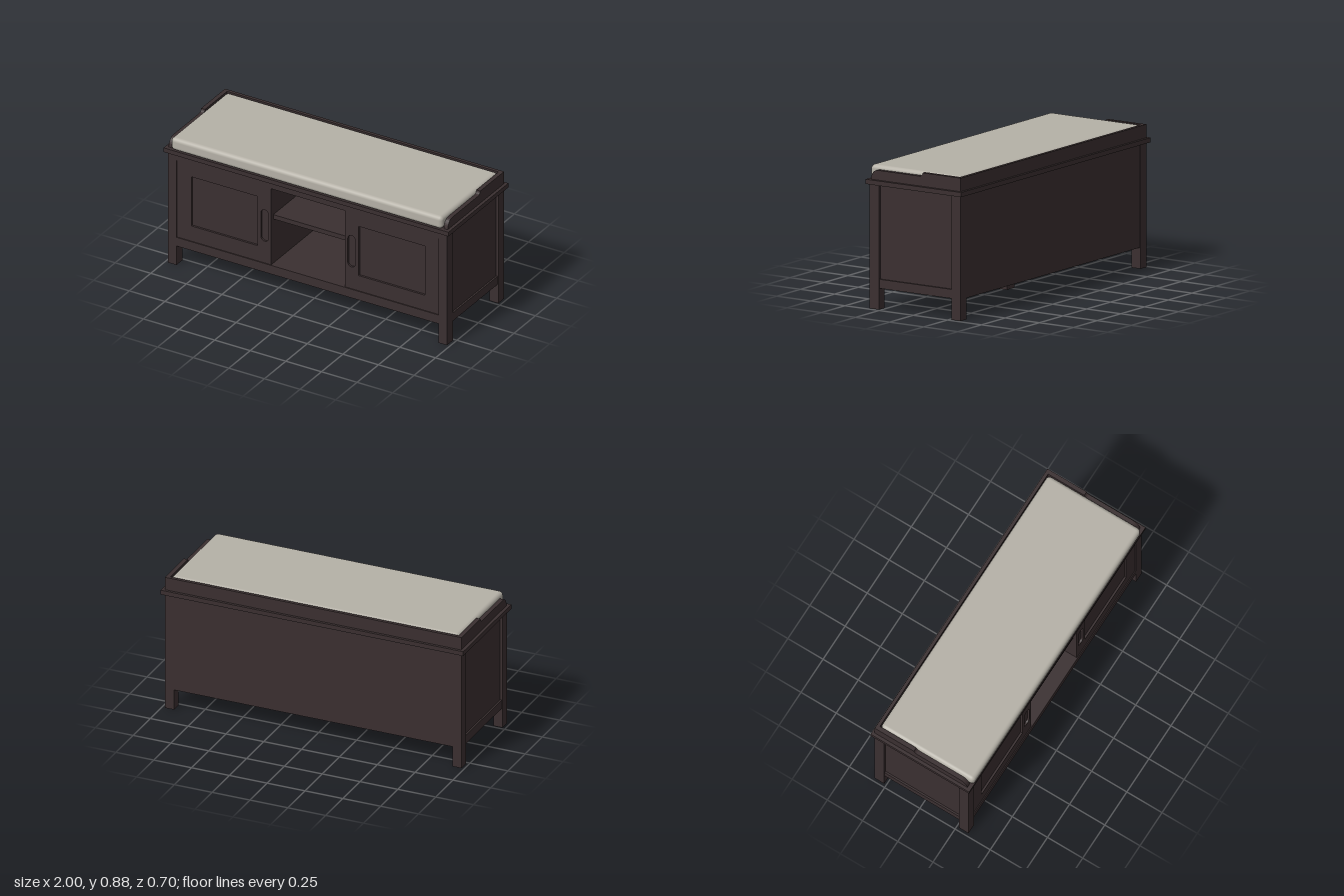
import * as THREE from 'three';
import { RoundedBoxGeometry } from 'three/addons/geometries/RoundedBoxGeometry.js';

export function createModel() {
  const model = new THREE.Group();
  model.name = 'storageBench';
  const wood = new THREE.MeshStandardMaterial({ name: 'darkWood', color: 0x3a2f30 });
  const fabric = new THREE.MeshStandardMaterial({ name: 'cushionFabric', color: 0xb5b1a7 });

  const add = (name, geometry, material = wood) => {
    const mesh = new THREE.Mesh(geometry, material);
    mesh.name = name;
    model.add(mesh);
    return mesh;
  };
  // Box given by its extents on each axis
  const box = (name, x0, x1, y0, y1, z0, z1) => {
    const mesh = add(name, new THREE.BoxGeometry(x1 - x0, y1 - y0, z1 - z0));
    mesh.position.set((x0 + x1) / 2, (y0 + y1) / 2, (z0 + z1) / 2);
    return mesh;
  };
  const rectHole = (x0, x1, y0, y1) => new THREE.Path([
    new THREE.Vector2(x0, y0), new THREE.Vector2(x0, y1),
    new THREE.Vector2(x1, y1), new THREE.Vector2(x1, y0)]);

  // Corner posts and centre foot
  for (const s of [-1, 1]) {
    for (const t of [-1, 1]) {
      const post = box('cornerLeg', -0.03, 0.03, 0, 0.766, -0.034, 0.034);
      post.position.x = s * 0.95;
      post.position.z = t * 0.299;
    }
  }
  box('centreFoot', -0.025, 0.055, 0, 0.172, -0.03, 0.05);

  // Carcass
  box('topBoard', -1, 1, 0.766, 0.795, -0.35, 0.35);
  box('bottomBoard', -0.96, 0.96, 0.17, 0.19, -0.32, 0.32);
  box('backPanel', -0.925, 0.925, 0.13, 0.766, -0.328, -0.312);
  box('frontTopRail', -0.92, 0.92, 0.72, 0.766, 0.305, 0.331);
  box('frontBottomRail', -0.92, 0.92, 0.13, 0.19, 0.305, 0.331);
  box('middleShelf', -0.26, 0.26, 0.495, 0.525, -0.312, 0.30);

  // Side panels, side rails and inner dividers
  for (const s of [-1, 1]) {
    const panel = box('sidePanel', -0.008, 0.008, 0.17, 0.766, -0.27, 0.27);
    panel.position.x = s * 0.957;
    const rail = box('sideBottomRail', -0.012, 0.012, 0.13, 0.186, -0.268, 0.268);
    rail.position.x = s * 0.964;
    const divider = box('divider', -0.012, 0.012, 0.19, 0.766, -0.312, 0.305);
    divider.position.x = s * 0.272;
  }

  // Framed doors with a sunken panel and a slotted finger grip
  for (const s of [-1, 1]) {
    const [cx, hx] = [s * 0.59, -s * 0.285];
    const frame = new THREE.Shape([
      new THREE.Vector2(-0.33, 0.19), new THREE.Vector2(0.33, 0.19),
      new THREE.Vector2(0.33, 0.72), new THREE.Vector2(-0.33, 0.72)]);
    const [a, b] = [-s * 0.235, s * 0.23].sort((p, q) => p - q);
    frame.holes.push(rectHole(a, b, 0.295, 0.635));
    const slot = new THREE.Path();
    slot.absarc(hx, 0.53, 0.027, 0, Math.PI, false);
    slot.absarc(hx, 0.367, 0.027, Math.PI, Math.PI * 2, false);
    slot.closePath();
    frame.holes.push(slot);
    const door = add('doorFrame', new THREE.ExtrudeGeometry(frame,
      { depth: 0.014, bevelEnabled: false, curveSegments: 10 }));
    door.position.set(cx, 0, 0.311);
    box('doorPanel', cx - 0.33, cx + 0.33, 0.19, 0.72, 0.299, 0.312);
  }

  // Raised back rail and shaped arm rails around the seat
  box('backRail', -0.98, 0.98, 0.795, 0.878, -0.333, -0.312);
  const arm = new THREE.Shape();
  arm.moveTo(-0.333, 0.795);
  arm.lineTo(0.325, 0.795);
  arm.bezierCurveTo(0.32, 0.83, 0.305, 0.855, 0.27, 0.855);
  arm.lineTo(-0.025, 0.855);
  arm.bezierCurveTo(-0.045, 0.855, -0.052, 0.862, -0.055, 0.878);
  arm.lineTo(-0.333, 0.878);
  arm.closePath();
  for (const s of [-1, 1]) {
    const geometry = new THREE.ExtrudeGeometry(arm,
      { depth: 0.027, bevelEnabled: false, curveSegments: 8 });
    geometry.rotateY(-Math.PI / 2);
    const rail = add('armRail', geometry);
    rail.position.x = s > 0 ? 0.98 : -0.953;
  }

  // Seat cushion
  const cushion = add('seatCushion', new RoundedBoxGeometry(1.904, 0.084, 0.66, 5, 0.025), fabric);
  cushion.position.set(0, 0.837, 0.02);

  return model;
}
